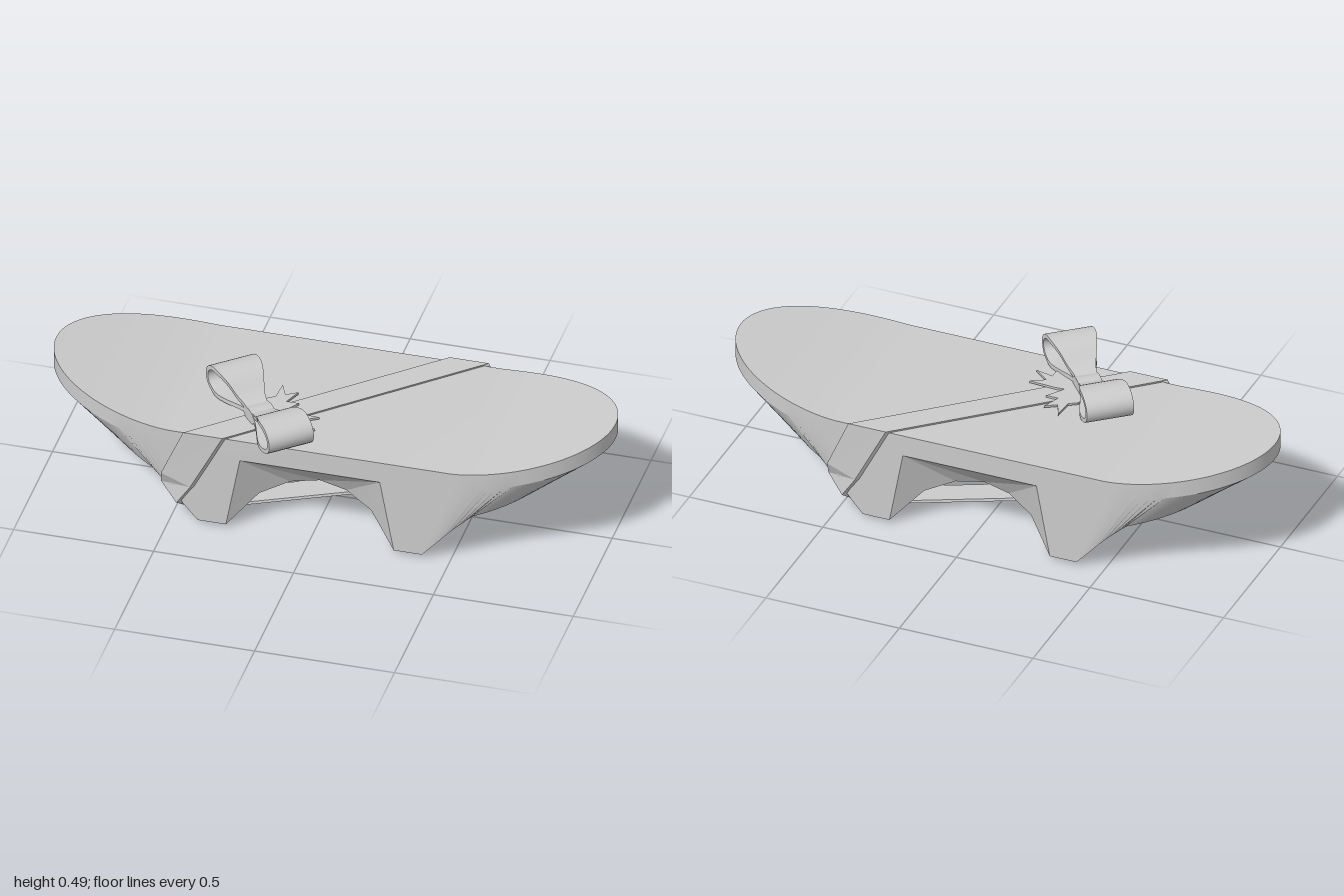
import * as THREE from 'three';
import { toCreasedNormals } from 'three/addons/utils/BufferGeometryUtils.js';

const ZC = -0.047, HALF_W = 0.337;
const V = (x, y, z) => new THREE.Vector3(x, y, z);
const grey = () => new THREE.MeshStandardMaterial({ color: 0xcccccc });

// Collects convex faces; each is turned to look along its outward hint.
class Faces {
  constructor() { this.pos = []; }
  add(hint, ...pts) {
    const n = V(0, 0, 0);
    for (let i = 1; i < pts.length - 1; i++) {
      n.add(pts[i].clone().sub(pts[0]).cross(pts[i + 1].clone().sub(pts[0])));
    }
    if (n.dot(hint) < 0) pts.reverse();
    for (let i = 1; i < pts.length - 1; i++) {
      for (const p of [pts[0], pts[i], pts[i + 1]]) this.pos.push(p.x, p.y, p.z);
    }
  }
  mesh(name, crease) {
    const g = new THREE.BufferGeometry();
    g.setAttribute('position', new THREE.Float32BufferAttribute(this.pos, 3));
    g.computeVertexNormals();
    const m = new THREE.Mesh(crease ? toCreasedNormals(g, crease) : g, grey());
    m.name = name;
    return m;
  }
}

// Height of the deck, curving up toward both tips
const deckY = (x) => 0.365 + 0.08 * Math.pow(Math.max(0, (Math.abs(x) - 0.5) / 0.5), 1.4);

// Outer profile of a foot, from the ground out to the tip
function footY(x) {
  const p = [[0.4, 0.012], [0.5, 0.12], [0.57, 0.18], [0.8, 0.235]];
  for (let i = 1; i < p.length; i++) {
    if (x <= p[i][0] + 1e-6) {
      const k = (x - p[i - 1][0]) / (p[i][0] - p[i - 1][0]);
      return THREE.MathUtils.lerp(p[i - 1][1], p[i][1], k);
    }
  }
  return p[3][1];
}

function buildBody() {
  const f = new Faces();
  const up = V(0, 1, 0), down = V(0, -1, 0);
  const N = 28;
  for (const s of [-1, 1]) {
    // Rounded end: deck edge, tapering underside and sloped foot
    const section = (i, side) => {
      const t = (i / N) * Math.PI / 2, c = Math.cos(t), z = ZC + side * HALF_W * Math.sin(t);
      const xr = 0.5 + 0.5 * c, xb = 0.4 + 0.4 * c;
      return [V(s * xr, deckY(xr), z), V(s * xr, deckY(xr) - 0.06, z), V(s * xb, footY(xb), z)];
    };
    for (let i = 0; i < N; i++) {
      const a = section(i, 1), b = section(i + 1, 1), c = section(i, -1), d = section(i + 1, -1);
      f.add(up, a[0], b[0], d[0], c[0]);
      f.add(V(s, -1, 0), a[2], b[2], d[2], c[2]);
      for (const [p, q, side] of [[a, b, 1], [c, d, -1]]) {
        const out = V(s, -0.2, side);
        f.add(out, p[0], q[0], q[1], p[1]);
        f.add(out, p[1], q[1], q[2], p[2]);
      }
    }
    // Sole of the foot
    const z0 = ZC - HALF_W, z1 = ZC + HALF_W;
    f.add(down, V(s * 0.3, 0.012, z0), V(s * 0.4, 0.012, z0), V(s * 0.4, 0.012, z1), V(s * 0.3, 0.012, z1));
  }
  // Middle of the deck
  const e = (x, y, side, inset = 0) => V(x, y, ZC + side * (HALF_W - inset));
  f.add(up, e(-0.5, 0.365, -1), e(0.5, 0.365, -1), e(0.5, 0.365, 1), e(-0.5, 0.365, 1));
  // Side walls with a flared arch between the feet
  const arch = [[0.3, 0.012, 0], [0.2, 0.115, 0.07], [0.1, 0.155, 0.11], [0, 0.165, 0.13]];
  for (const side of [-1, 1]) {
    const out = V(0, 0, side);
    f.add(out, e(-0.5, 0.365, side), e(0.5, 0.365, side), e(0.25, 0.285, side), e(-0.25, 0.285, side));
    f.add(V(0, -1, side), e(-0.25, 0.285, side), e(0.25, 0.285, side), e(0, 0.165, side, 0.13));
    for (const s of [-1, 1]) {
      f.add(out, e(s * 0.5, 0.365, side), e(s * 0.5, 0.305, side), e(s * 0.25, 0.285, side));
      f.add(out, e(s * 0.5, 0.305, side), e(s * 0.4, 0.012, side), e(s * 0.3, 0.012, side), e(s * 0.25, 0.285, side));
      for (let i = 0; i < 3; i++) {
        const [p, q] = [arch[i], arch[i + 1]];
        f.add(V(-s * 0.3, -0.2, side), e(s * 0.25, 0.285, side),
          e(s * p[0], p[1], side, p[2]), e(s * q[0], q[1], side, q[2]));
      }
    }
  }
  // Underside of the arch
  for (const s of [-1, 1]) {
    for (let i = 0; i < 3; i++) {
      const [p, q] = [arch[i], arch[i + 1]];
      f.add(V(-s * 0.5, -1, 0), e(s * p[0], p[1], 1, p[2]), e(s * q[0], q[1], 1, q[2]),
        e(s * q[0], q[1], -1, q[2]), e(s * p[0], p[1], -1, p[2]));
    }
  }
  return f.mesh('boardWithFeet', 0.3);
}

// Skins four-cornered sections into a solid ribbon
function ribbon(name, sections, closed, crease) {
  const f = new Faces();
  const mid = (list) => list.reduce((a, p) => a.add(p), V(0, 0, 0)).divideScalar(list.length);
  const n = sections.length;
  for (let i = 0; i < (closed ? n : n - 1); i++) {
    const a = sections[i], b = sections[(i + 1) % n];
    const centre = mid([...a, ...b]);
    for (let j = 0; j < 4; j++) {
      const k = (j + 1) % 4, quad = [a[j], a[k], b[k], b[j]];
      f.add(mid(quad).sub(centre), ...quad);
    }
  }
  const m = f.mesh(name, crease);
  m.material.side = THREE.DoubleSide;
  return m;
}

// Strap wound diagonally around the board; one half is the other turned by 180 degrees
function buildStrap() {
  const half = [
    [V(-0.45, 0.372, 0.3), V(-0.31, 0.372, 0.3)],
    [V(-0.53, 0.19, 0.298), V(-0.425, 0.15, 0.3)],
    [V(-0.535, 0.14, 0.275), V(-0.475, 0.075, 0.297)],
    [V(-0.41, 0, 0.095), V(-0.41, 0, 0.205)],
  ];
  const turn = (p) => V(-p.x, p.y, 2 * ZC - p.z);
  const loop = [...half, ...half.map(([a, b]) => [turn(b), turn(a)]).reverse()];
  const centre = V(0, 0.19, ZC);
  const inner = (p) => p.clone().lerp(centre, 0.05);
  return ribbon('strap', loop.map(([a, b]) => [a, b, inner(b), inner(a)]), true);
}

// Bow loop: a teardrop path that widens away from the knot
function buildBowLoop() {
  const pts = [[0.01, 0.403], [0.07, 0.422], [0.12, 0.46], [0.16, 0.476], [0.205, 0.475], [0.24, 0.455],
    [0.25, 0.43], [0.24, 0.402], [0.2, 0.384], [0.13, 0.383], [0.06, 0.39], [0.01, 0.395]];
  const curve = new THREE.CatmullRomCurve3(pts.map(([s, y]) => V(s, y, 0)));
  const sections = [];
  for (let i = 0; i <= 32; i++) {
    const p = curve.getPoint(i / 32), t = curve.getTangent(i / 32);
    const n = V(-t.y, t.x, 0).multiplyScalar(0.008);
    const w = 0.04 + 0.045 * THREE.MathUtils.smoothstep(p.x, 0.02, 0.19);
    const at = (k, z) => p.clone().addScaledVector(n, k).setZ(z);
    sections.push([at(1, w), at(1, -w), at(-1, -w), at(-1, w)]);
  }
  return ribbon('bowLoop', sections, false, 0.6);
}

export function createModel() {
  const model = new THREE.Group();
  model.add(buildBody(), buildStrap());

  // Bow sitting across the strap
  const bow = new THREE.Group();
  bow.name = 'bow';
  bow.position.set(-0.22, 0, 0.14);
  bow.rotation.y = -Math.atan2(0.76, 0.65);
  for (const s of [0, 1]) {
    const loop = buildBowLoop();
    loop.rotation.y = s * Math.PI;
    bow.add(loop);
  }
  const knot = new THREE.Mesh(new THREE.CylinderGeometry(0.045, 0.045, 0.085, 10), grey());
  knot.name = 'knot';
  knot.rotation.x = Math.PI / 2;
  knot.scale.set(1, 1, 0.58);
  knot.position.y = 0.393;
  bow.add(knot);
  model.add(bow);

  // Ribbon tails with zigzag ends, lying on the deck (x, z outlines)
  const tails = [
    [[-0.25, 0.12], [-0.23, 0.03], [-0.2, 0.01], [-0.195, -0.065], [-0.17, -0.01], [-0.13, -0.035],
      [-0.155, 0.03], [-0.11, 0.03], [-0.17, 0.12]],
    [[-0.21, 0.1], [-0.12, 0.09], [-0.02, 0.095], [-0.07, 0.125], [-0.015, 0.17], [-0.08, 0.155],
      [-0.08, 0.19], [-0.14, 0.18], [-0.21, 0.17]],
  ];
  for (const t of tails) {
    const shape = new THREE.Shape(t.map(([x, z]) => new THREE.Vector2(x, -z)));
    const g = new THREE.ExtrudeGeometry(shape, { depth: 0.008, bevelEnabled: false });
    g.rotateX(-Math.PI / 2);
    const tail = new THREE.Mesh(g, grey());
    tail.name = 'ribbonTail';
    tail.position.y = 0.372;
    model.add(tail);
  }
  return model;
}
